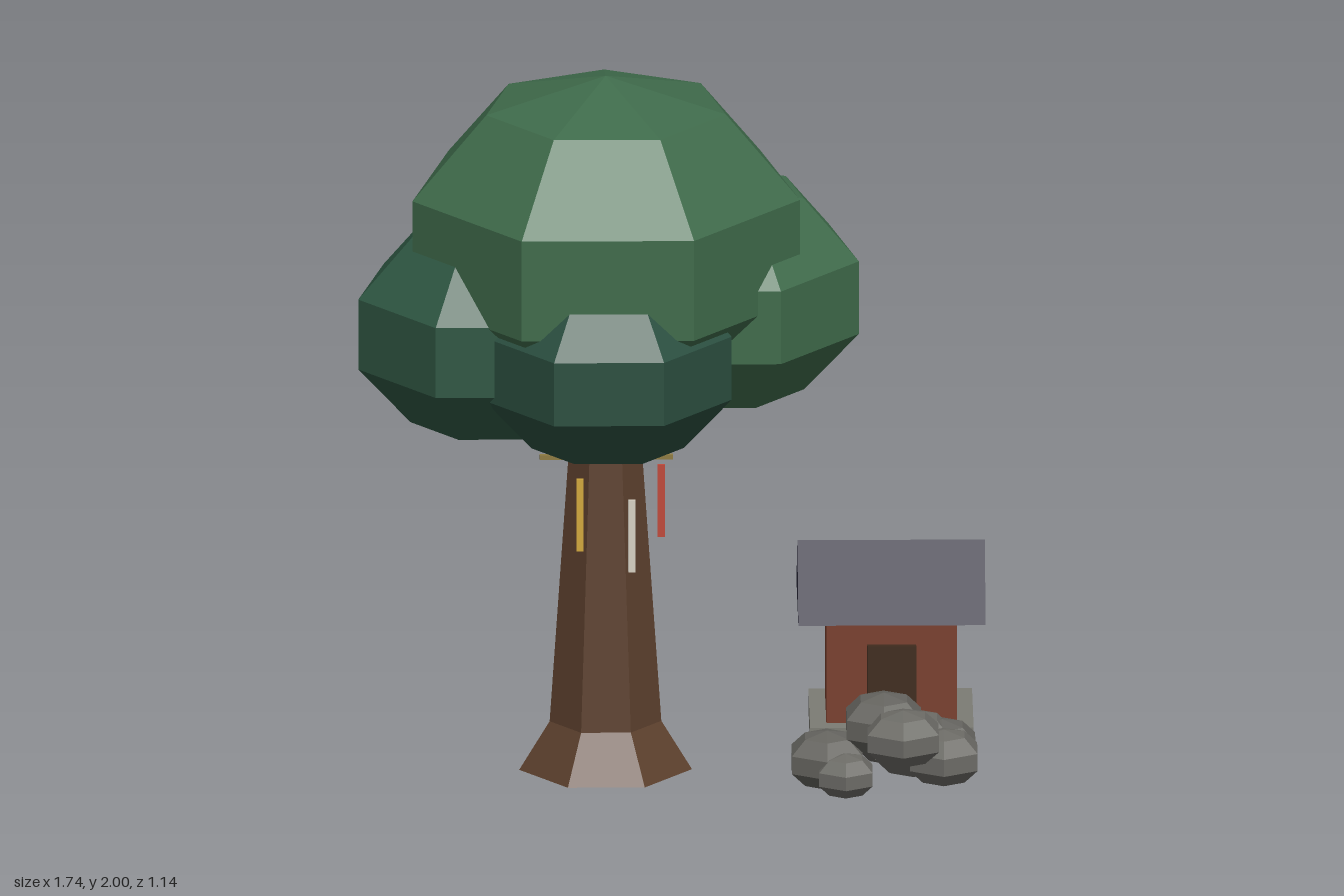
import * as THREE from 'three';

const paint = (color) => new THREE.MeshStandardMaterial({ color, flatShading: true });

export function createModel() {
  const model = new THREE.Group();

  const add = (parent, name, geometry, color, x, y, z) => {
    const mesh = new THREE.Mesh(geometry, paint(color));
    mesh.name = name;
    mesh.position.set(x, y, z);
    parent.add(mesh);
    return mesh;
  };
  const group = (name) => {
    const g = new THREE.Group();
    g.name = name;
    model.add(g);
    return g;
  };
  // Faceted, flattened ball with one corner pointing to the back
  const blob = (radius, height, sides) =>
    new THREE.SphereGeometry(radius, sides, 5).rotateY(-Math.PI / 2).scale(1, height / radius, 1);
  // Seven-sided tapered column standing on its base
  const column = (top, bottom, height) =>
    new THREE.CylinderGeometry(top, bottom, height, 7).rotateY(Math.PI).translate(0, height / 2, 0);

  // Tree: flared foot, trunk and four clumps of leaves
  const tree = group('tree');
  add(tree, 'trunkFlare', column(0.159, 0.246, 0.135), 0x5c402d, -0.188, 0, -0.015);
  add(tree, 'trunk', column(0.09, 0.159, 0.985), 0x5c402d, -0.188, 0.135, -0.015);
  const leaves = [
    ['crown', 0.58, 0.47, 0x3f6b4b, -0.187, 1.53, -0.022],
    ['leftFoliage', 0.427, 0.342, 0x3f6b4b, 0.12, 1.35, -0.116],
    ['rightFoliage', 0.411, 0.329, 0x2f5743, -0.494, 1.287, 0.01],
    ['frontFoliage', 0.37, 0.297, 0x2b4f40, -0.185, 1.258, 0.25],
  ];
  for (const [name, r, h, color, x, y, z] of leaves) add(tree, name, blob(r, h, 7), color, x, y, z);

  // Crossbar through the trunk with coloured hanging strips
  const hangings = group('hangings');
  add(hangings, 'crossbar', new THREE.BoxGeometry(0.37, 0.014, 0.014), 0x8f7c42, -0.185, 0.893, -0.015);
  const strips = [
    ['yellowStrip', 0xd2a93c, -0.26, 0.765, 0.117],
    ['whiteStrip', 0xd8d2c4, -0.116, 0.704, 0.117],
    ['redStrip', 0xc0493a, -0.033, 0.765, -0.015],
    ['blueStrip', 0x3a5a9c, -0.26, 0.704, -0.147],
  ];
  for (const [name, color, x, y, z] of strips)
    add(hangings, name, new THREE.BoxGeometry(0.02, 0.21, 0.008), color, x, y, z);

  // Small house: slab, walls, door and gable roof with its ridge along x
  const house = group('house');
  house.position.set(0.609, 0, -0.324);
  add(house, 'slab', new THREE.BoxGeometry(0.454, 0.06, 0.363), 0x7c7c74, 0, 0.03, 0);
  add(house, 'walls', new THREE.BoxGeometry(0.363, 0.308, 0.272), 0x7a3f2e, 0, 0.214, 0);
  add(house, 'door', new THREE.BoxGeometry(0.136, 0.228, 0.03), 0x3f2b1d, 0, 0.174, 0.137);
  const gable = new THREE.Shape([
    new THREE.Vector2(-0.213, 0),
    new THREE.Vector2(0.213, 0),
    new THREE.Vector2(0, 0.182),
  ]);
  const roof = new THREE.ExtrudeGeometry(gable, { depth: 0.52, bevelEnabled: false })
    .translate(0, 0, -0.26)
    .rotateY(Math.PI / 2);
  add(house, 'roof', roof, 0x302e40, 0, 0.368, 0);

  // Rock pile: radius, half height, position
  const rocks = group('rockPile');
  const stones = [
    [0.119, 0.083, 0.424, 0.087, 0.227],
    [0.09, 0.063, 0.475, 0.066, 0.31],
    [0.108, 0.078, 0.6, 0.085, 0.01],
    [0.13, 0.093, 0.665, 0.096, 0.11],
    [0.112, 0.08, 0.745, 0.085, 0.11],
    [0.114, 0.08, 0.748, 0.084, 0.2],
    [0.126, 0.09, 0.582, 0.183, 0.205],
    [0.12, 0.08, 0.634, 0.175, 0.312],
  ];
  stones.forEach(([r, h, x, y, z], i) =>
    add(rocks, 'rock' + (i + 1), blob(r, h, 6), i % 2 ? 0x6c6b66 : 0x65645f, x, y, z));

  return model;
}
